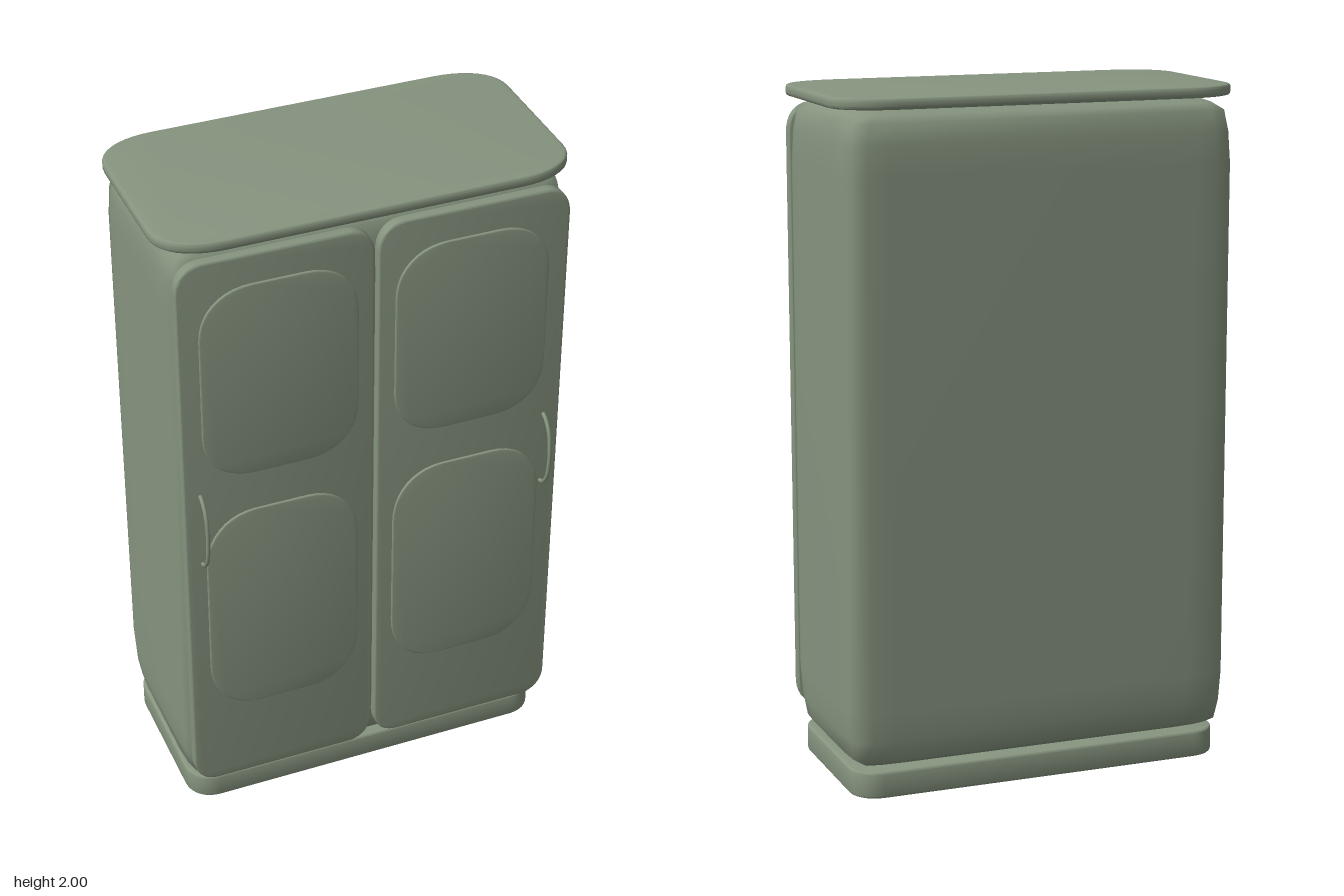
import * as THREE from 'three';
import { toCreasedNormals } from 'three/addons/utils/BufferGeometryUtils.js';

// Rectangle with soft elliptical corners, centred on (cx, cy)
function softRect(cx, cy, w, h, rx, ry) {
  const s = new THREE.Shape(), k = 0.6;
  const corners = [[1, -1], [1, 1], [-1, 1], [-1, -1]];
  corners.forEach(([sx, sy], i) => {
    const X = cx + sx * w / 2, Y = cy + sy * h / 2;
    const onX = [X - sx * rx, Y], onY = [X, Y - sy * ry];
    const nearX = [X - sx * rx * (1 - k), Y], nearY = [X, Y - sy * ry * (1 - k)];
    const path = sx * sy < 0 ? [onX, nearX, nearY, onY] : [onY, nearY, nearX, onX];
    if (i === 0) s.moveTo(...path[0]); else s.lineTo(...path[0]);
    s.bezierCurveTo(...path[1], ...path[2], ...path[3]);
  });
  s.closePath();
  return s;
}

// Plate of the given depth with a small softened rim, lying on z = 0..depth
function plate(cx, cy, w, h, rx, ry, depth, bevel) {
  const shape = softRect(cx, cy, w - 2 * bevel, h - 2 * bevel, rx, ry);
  const geo = new THREE.ExtrudeGeometry(shape, {
    depth: depth - 2 * bevel, bevelEnabled: true, bevelSize: bevel,
    bevelThickness: bevel, bevelSegments: 3, curveSegments: 10,
  });
  geo.translate(0, 0, bevel);
  return toCreasedNormals(geo, 0.6);
}

// Pillowy cabinet shell: stacked soft rectangles, closed at both ends
function shellGeometry() {
  const levels = [[0.07, 0.12], [0.08, 0.085], [0.092, 0.04], [0.11, 0.015], [0.17, 0.005], [0.26, 0],
    [1.78, 0], [1.87, 0.005], [1.93, 0.015], [1.948, 0.04], [1.965, 0.085], [1.972, 0.12]];
  const hx = 0.585, hz = 0.288, zMid = -0.037;
  const corner = [[0, 0.13], [0.004, 0.06], [0.015, 0.014], [0.06, 0.004], [0.13, 0]];
  const ring = [];
  [[1, 1], [-1, 1], [-1, -1], [1, -1]].forEach(([sx, sz]) => {
    const pts = corner.map(([ix, iz]) => [sx * (hx - ix), sz * (hz - iz)]);
    ring.push(...(sx * sz > 0 ? pts : pts.reverse()));
  });
  const n = ring.length, pos = [], idx = [];
  levels.forEach(([y, inset]) => ring.forEach(([x, z]) =>
    pos.push(x * (1 - inset / hx), y, zMid + z * (1 - inset / hz))));
  for (let j = 0; j < levels.length - 1; j++) {
    for (let i = 0; i < n; i++) {
      const a = j * n + i, b = j * n + (i + 1) % n;
      idx.push(a, a + n, b, b, a + n, b + n);
    }
  }
  const last = (levels.length - 1) * n;
  for (let i = 1; i < n - 1; i++) {
    idx.push(0, i, i + 1);
    idx.push(last, last + i + 1, last + i);
  }
  const geo = new THREE.BufferGeometry();
  geo.setAttribute('position', new THREE.Float32BufferAttribute(pos, 3));
  geo.setIndex(idx);
  geo.computeVertexNormals();
  return geo;
}

export function createModel() {
  const model = new THREE.Group();
  model.name = 'wardrobe';
  const paint = new THREE.MeshStandardMaterial({ color: 0x86947f });
  paint.name = 'sage green paint';
  const add = (parent, name, geo) => {
    const mesh = new THREE.Mesh(geo, paint);
    mesh.name = name;
    parent.add(mesh);
    return mesh;
  };

  // Cabinet shell
  add(model, 'cabinetBody', shellGeometry());

  // Plinth and overhanging top
  const plinth = plate(0, 0, 1.14, 0.55, 0.08, 0.08, 0.078, 0.006);
  plinth.rotateX(-Math.PI / 2).translate(0, 0, -0.035);
  add(model, 'plinth', plinth);
  const top = plate(0, 0, 1.21, 0.617, 0.17, 0.12, 0.032, 0.009);
  top.rotateX(-Math.PI / 2).translate(0, 1.968, -0.0285);
  add(model, 'topBoard', top);

  // Mirrored doors with two raised panels and a bow handle each
  for (const side of [1, -1]) {
    const door = new THREE.Group();
    door.name = side > 0 ? 'leftDoor' : 'rightDoor';
    model.add(door);

    add(door, 'doorLeaf', plate(side * 0.29, 1.025, 0.57, 1.83, 0.07, 0.08, 0.034, 0.006)).position.z = 0.242;
    add(door, 'upperPanel', plate(side * 0.285, 1.54, 0.46, 0.62, 0.15, 0.15, 0.012, 0.003)).position.z = 0.271;
    add(door, 'lowerPanel', plate(side * 0.285, 0.743, 0.46, 0.715, 0.15, 0.17, 0.012, 0.003)).position.z = 0.271;

    const bow = new THREE.CatmullRomCurve3([
      [0.945, 0.27], [0.95, 0.29], [0.985, 0.318], [1.067, 0.33],
      [1.145, 0.318], [1.18, 0.29], [1.187, 0.27],
    ].map(([y, z]) => new THREE.Vector3(side * 0.526, y, z)));
    add(door, 'handle', new THREE.TubeGeometry(bow, 32, 0.006, 10, false));
  }
  return model;
}
